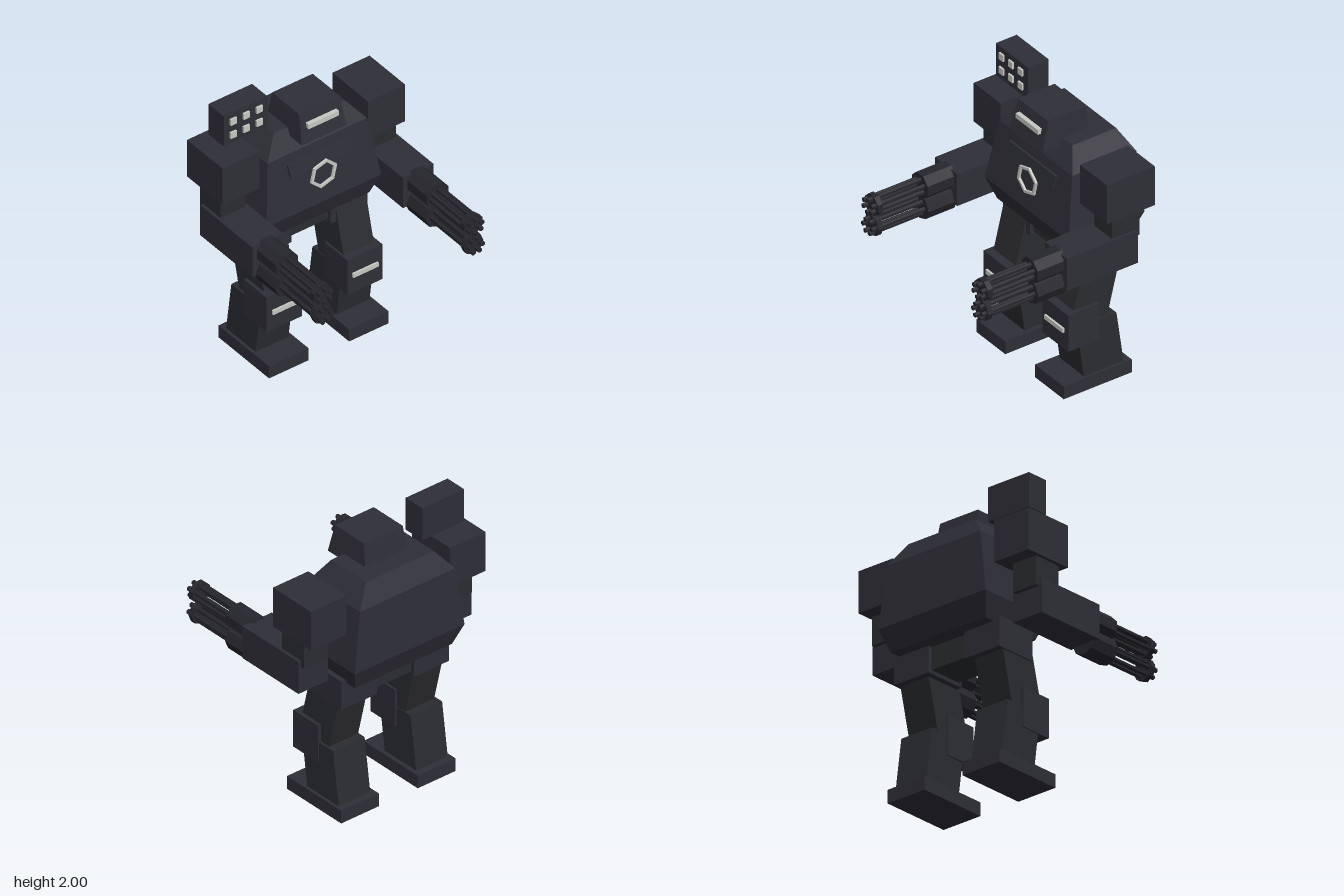
import * as THREE from 'three';

const paint = (name, color) => {
  const m = new THREE.MeshStandardMaterial({ color, flatShading: true });
  m.name = name;
  return m;
};

export function createModel() {
  const armour = paint('armour', 0x2e2e37);
  const frame = paint('frame', 0x2b2c30);
  const gunmetal = paint('gunmetal', 0x26262d);
  const light = paint('light panel', 0xc6cac4);
  const root = new THREE.Group();
  root.name = 'walker';

  const add = (parent, name, geometry, material) => {
    const mesh = new THREE.Mesh(geometry, material);
    mesh.name = name;
    parent.add(mesh);
    return mesh;
  };

  // Box given by its limits on each axis
  const box = (parent, name, material, [x0, x1], [y0, y1], [z0, z1]) => {
    const g = new THREE.BoxGeometry(x1 - x0, y1 - y0, z1 - z0);
    g.translate((x0 + x1) / 2, (y0 + y1) / 2, (z0 + z1) / 2);
    return add(parent, name, g, material);
  };

  // Stack of rectangles, bottom to top: [y, x0, x1, zBack, zFront]
  const loft = (parent, name, material, rings) => {
    const corners = rings.map(([y, x0, x1, zb, zf]) =>
      [[x0, y, zf], [x1, y, zf], [x1, y, zb], [x0, y, zb]]);
    const pos = [];
    const quad = (a, b, c, d) => [a, b, c, a, c, d].forEach((p) => pos.push(...p));
    for (let k = 0; k + 1 < corners.length; k++) {
      const lo = corners[k], hi = corners[k + 1];
      for (let i = 0; i < 4; i++) {
        const j = (i + 1) % 4;
        quad(lo[i], lo[j], hi[j], hi[i]);
      }
    }
    quad(...corners[corners.length - 1]);
    quad(...corners[0].slice().reverse());
    const g = new THREE.BufferGeometry();
    g.setAttribute('position', new THREE.Float32BufferAttribute(pos, 3));
    g.computeVertexNormals();
    return add(parent, name, g, material);
  };

  // Cylinder lying along z
  const rod = (parent, name, material, r, sides, x, y, z0, z1, turn = 0) => {
    const g = new THREE.CylinderGeometry(r, r, z1 - z0, sides);
    g.rotateY(turn);
    g.rotateX(Math.PI / 2);
    g.translate(x, y, (z0 + z1) / 2);
    return add(parent, name, g, material);
  };

  // Torso
  loft(root, 'torso', armour, [
    [1.01, -0.40, 0.40, -0.64, -0.17],
    [1.165, -0.453, 0.453, -0.70, -0.112],
    [1.6, -0.393, 0.393, -0.68, -0.183],
    [1.74, -0.28, 0.28, -0.605, -0.265],
  ]);
  loft(root, 'chestPlate', armour, [
    [1.435, -0.238, 0.238, -0.19, -0.14],
    [1.53, -0.25, 0.25, -0.20, -0.157],
  ]);

  // Six-sided chest emblem ring
  const hexagon = (r) => Array.from({ length: 6 }, (_, i) => {
    const a = THREE.MathUtils.degToRad(77 + i * 60);
    return new THREE.Vector2(r * Math.cos(a), r * Math.sin(a));
  });
  const ringShape = new THREE.Shape(hexagon(0.107));
  ringShape.holes.push(new THREE.Path(hexagon(0.086)));
  const ring = add(root, 'chestRing',
    new THREE.ExtrudeGeometry(ringShape, { depth: 0.016, bevelEnabled: false }), light);
  ring.position.set(0, 1.383, -0.124);

  // Head and visor
  loft(root, 'head', armour, [
    [1.69, -0.177, 0.177, -0.478, -0.11],
    [1.9, -0.16, 0.16, -0.443, -0.16],
  ]);
  box(root, 'visor', light, [-0.12, 0.12], [1.792, 1.828], [-0.145, -0.112]);

  // Rocket pod above the right shoulder
  const pod = new THREE.Group();
  pod.name = 'rocketPod';
  root.add(pod);
  box(pod, 'podCase', armour, [-0.63, -0.285], [1.76, 2], [-0.487, -0.325]);
  for (const x of [-0.56, -0.458, -0.355]) {
    for (const y of [1.83, 1.935]) {
      box(pod, 'rocketTip', light, [x - 0.024, x + 0.024], [y - 0.024, y + 0.024], [-0.33, -0.311]);
    }
  }

  // Pelvis between the hips
  box(root, 'pelvis', frame, [-0.17, 0.17], [0.85, 1.03], [-0.53, -0.275]);

  for (const s of [1, -1]) {
    const side = s > 0 ? 'left' : 'right';
    const span = (a, b) => (s > 0 ? [a, b] : [-b, -a]);

    // Arm
    const arm = new THREE.Group();
    arm.name = side + 'Arm';
    root.add(arm);
    box(arm, 'shoulder', armour, span(0.428, 0.72), [1.4, 1.692], [-0.59, -0.217]);
    box(arm, 'upperArm', frame, span(0.497, 0.693), [1.2, 1.41], [-0.49, -0.275]);
    box(arm, 'forearm', armour, span(0.473, 0.715), [1.01, 1.25], [-0.46, 0.088]);

    // Twin rotary guns
    [[1.18, Math.PI / 8], [1.027, 0]].forEach(([y, turn]) => {
      const gun = new THREE.Group();
      gun.name = 'rotaryGun';
      arm.add(gun);
      const x = s * 0.594;
      rod(gun, 'gunSleeve', gunmetal, 0.093, 8, x, y, 0.07, 0.292, turn);
      rod(gun, 'barrelCollar', gunmetal, 0.077, 8, x, y, 0.63, 0.668, turn);
      for (let i = 0; i < 6; i++) {
        const a = (i * Math.PI) / 3 + turn;
        rod(gun, 'barrel', gunmetal, 0.017, 6,
          x + 0.048 * Math.cos(a), y + 0.048 * Math.sin(a), 0.28, 0.703);
      }
    });

    // Leg
    const leg = new THREE.Group();
    leg.name = side + 'Leg';
    root.add(leg);
    box(leg, 'hip', armour, span(0.153, 0.445), [0.825, 1.038], [-0.56, -0.247]);
    loft(leg, 'thigh', frame, [
      [0.45, ...span(0.195, 0.433), -0.42, -0.128],
      [0.94, ...span(0.195, 0.433), -0.54, -0.247],
    ]);
    loft(leg, 'shin', frame, [
      [0.08, ...span(0.19, 0.45), -0.542, -0.234],
      [0.48, ...span(0.19, 0.45), -0.485, -0.178],
    ]);
    box(leg, 'knee', armour, span(0.18, 0.458), [0.333, 0.608], [-0.345, -0.105]);
    box(leg, 'kneeLight', light, span(0.217, 0.417), [0.46, 0.492], [-0.11, -0.09]);
    box(leg, 'foot', armour, span(0.16, 0.472), [0, 0.095], [-0.59, -0.06]);
  }
  return root;
}
